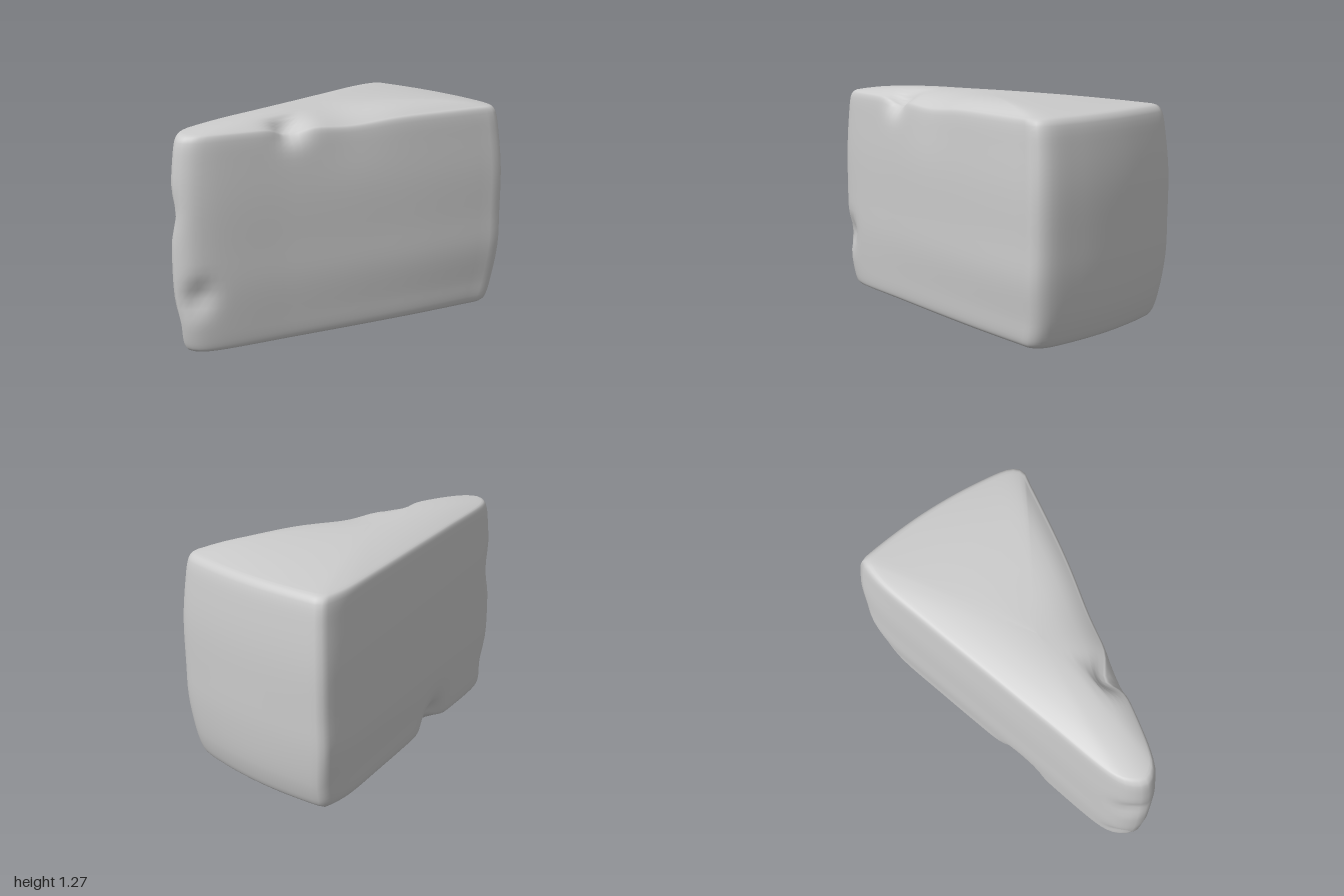
import * as THREE from 'three';

// plan outline of the wedge (x, z), counter-clockwise from the narrow front tip
const OUTLINE = [
  [0, 1], [0.07, 0.965], [0.115, 0.89], [0.245, 0.4], [0.36, -0.05], [0.45, -0.43],
  [0.525, -0.8], [0.54, -0.89], [0.5, -0.94], [0.27, -0.985], [-0.1, -1], [-0.48, -0.965],
  [-0.535, -0.95], [-0.545, -0.9], [-0.54, -0.77], [-0.455, -0.4], [-0.355, 0],
  [-0.25, 0.42], [-0.125, 0.89], [-0.07, 0.965],
];

// side profile: height, width scale, depth scale
const PROFILE = [
  [0.05, 0.86, 0.92], [0.065, 0.9, 0.935], [0.1, 0.925, 0.95], [0.2, 0.95, 0.975],
  [0.4, 1, 0.995], [0.6, 1, 1], [0.85, 1, 1], [1.05, 0.975, 0.985],
  [1.18, 0.95, 0.965], [1.21, 0.925, 0.945], [1.222, 0.88, 0.92],
];

// chips knocked out of the edges: centre, radius, push
const CHIPS = [
  { at: [0.2, 1.23, 0.38], r: 0.09, push: [-0.06, -0.05, 0] },
  { at: [0.3, 1.24, 0.05], r: 0.22, push: [-0.01, -0.025, 0] },
  { at: [-0.29, 0.07, 0.22], r: 0.11, push: [0.06, 0.05, 0] },
  { at: [0.11, 0.36, 0.93], r: 0.08, push: [-0.035, 0, -0.03] },
  { at: [-0.07, 0.8, 0.97], r: 0.1, push: [0.02, 0, -0.025] },
  { at: [-0.1, 0.2, 0.95], r: 0.09, push: [0.02, 0, -0.02] },
];

function chip(p) {
  const q = p.clone();
  for (const { at, r, push } of CHIPS) {
    const d = p.distanceTo(new THREE.Vector3(...at)) / r;
    q.addScaledVector(new THREE.Vector3(...push), Math.exp(-d * d));
  }
  return q;
}

function wedgeGeometry() {
  const N = 128;
  const plan = new THREE.CatmullRomCurve3(OUTLINE.map(([x, z]) => new THREE.Vector3(x, 0, z)), true);
  const outline = plan.getSpacedPoints(N).slice(0, N);
  const profile = new THREE.CatmullRomCurve3(PROFILE.map(([y, sx, sz]) => new THREE.Vector3(sx, y, sz)));
  const sides = profile.getPoints(40);
  const first = sides[0], last = sides[sides.length - 1];
  const capSteps = [0, 0.12, 0.25, 0.4, 0.55, 0.7, 0.8, 0.88, 0.95];

  const rings = [];
  // shallow domed underside, from its centre outwards
  for (const s of capSteps)
    rings.push(outline.map(o => new THREE.Vector3(
      o.x * first.x * s, first.y * Math.pow(s, 1.5), o.z * first.z * s)));
  // walls
  for (const k of sides)
    rings.push(outline.map(o => new THREE.Vector3(o.x * k.x, k.y, o.z * k.z)));
  // crowned top, falling off more gently towards -x
  for (const s of [...capSteps].reverse())
    rings.push(outline.map(o => new THREE.Vector3(
      o.x * last.x * s, last.y + 0.053 * (1 - Math.pow(s, 3 + 2.5 * o.x)), o.z * last.z * s)));

  const positions = [], index = [];
  rings.forEach((ring, i) => ring.forEach((p, j) => {
    positions.push(...chip(p).toArray());
    if (i === rings.length - 1) return;
    const a = i * N + j, b = i * N + (j + 1) % N;
    index.push(a, b, b + N, a, b + N, a + N);
  }));
  const geometry = new THREE.BufferGeometry();
  geometry.setAttribute('position', new THREE.Float32BufferAttribute(positions, 3));
  geometry.setIndex(index);
  geometry.computeVertexNormals();
  return geometry;
}

export function createModel() {
  const group = new THREE.Group();
  group.name = 'wedgeStone';
  const stone = new THREE.Mesh(wedgeGeometry(), new THREE.MeshStandardMaterial({ color: 0xcccccc }));
  stone.name = 'stoneBlock';
  group.add(stone);
  return group;
}
